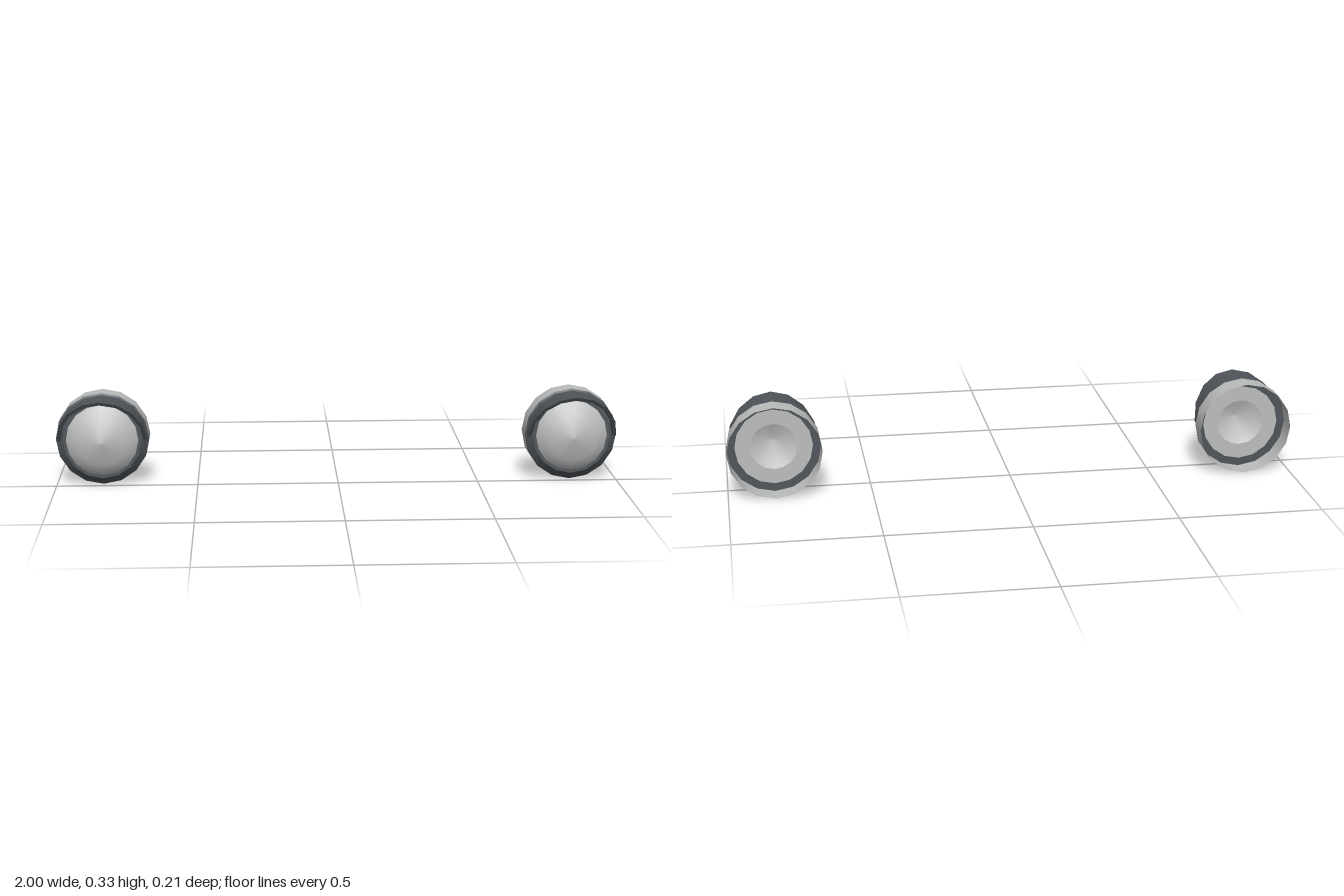
import * as THREE from 'three';
import { toCreasedNormals } from 'three/addons/utils/BufferGeometryUtils.js';

const SIDES = 16;
const R = 0.165;

// Spins a [radius, z] profile around the z axis.
function spin(profile, start = 0, sweep = Math.PI * 2, sides = SIDES) {
  const points = profile.map(([r, z]) => new THREE.Vector2(r, z));
  return new THREE.LatheGeometry(points, sides, start, sweep).rotateX(Math.PI / 2);
}

const crease = (geometry) => toCreasedNormals(geometry, 0.6);

// Half-ring visor whose front edge slopes back towards its lower corners.
function hoodGeometry() {
  const outer = 0.159, inner = 0.147, back = -0.025, front = 0.1;
  const profile = [[outer, back], [outer, front], [inner, front], [inner, back], [outer, back]];
  const geometry = spin(profile, Math.PI / 2, Math.PI, 8);
  const p = geometry.attributes.position;
  for (let i = 0; i < p.count; i++) {
    if (p.getZ(i) > 0) p.setZ(i, 0.008 + 0.095 * p.getY(i) / outer);
  }
  return crease(geometry);
}

export function createModel() {
  const material = (name, color) => {
    const m = new THREE.MeshStandardMaterial({ color, side: THREE.DoubleSide });
    m.name = name;
    return m;
  };
  const shellGrey = material('shell grey', 0xbcbdbd);
  const trimGrey = material('dark trim grey', 0x50555a);

  const parts = [
    // Housing open at the back
    ['housing', spin([[R, -0.103], [R, -0.027]]), shellGrey],
    // Bevelled ring around the lens
    ['bezel', crease(spin([[R, -0.027], [0.139, -0.003], [0.126, -0.003], [0.126, -0.027], [R, -0.027]])), trimGrey],
    // Domed lens and the flat ring behind it
    ['lens', spin([[0.128, -0.003], [0.126, 0.003], [0.083, 0.037], [0, 0.054]]), shellGrey],
    ['lensSeat', spin([[0.136, -0.028], [0.083, -0.028]]), shellGrey],
    // Visor over the upper half
    ['hood', hoodGeometry(), trimGrey],
  ];

  const model = new THREE.Group();
  model.name = 'headlampPair';
  for (const [side, x] of [['left', 1 - R], ['right', R - 1]]) {
    const lamp = new THREE.Group();
    lamp.name = side + 'Headlamp';
    for (const [name, geometry, mat] of parts) {
      const mesh = new THREE.Mesh(geometry, mat);
      mesh.name = name;
      lamp.add(mesh);
    }
    lamp.position.set(x, R, 0);
    model.add(lamp);
  }
  return model;
}
